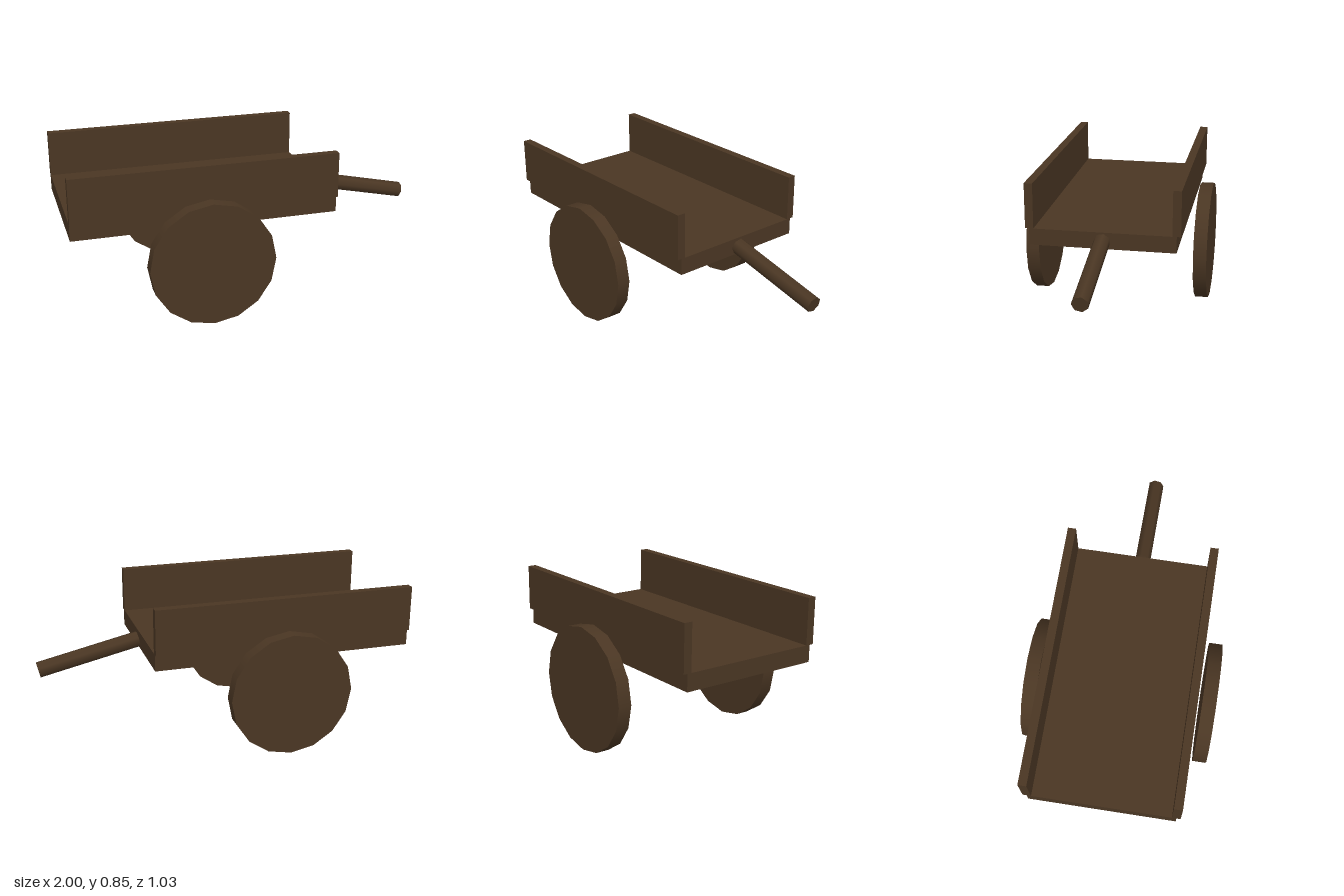
import * as THREE from 'three';

export function createModel() {
  const cart = new THREE.Group();
  cart.name = 'handCart';
  const wood = new THREE.MeshStandardMaterial({ color: 0x4a3623 });
  wood.name = 'darkWood';

  const centreX = -0.284; // middle of the bed, above the wheels
  const bedLength = 1.432;

  const add = (name, geometry, x, y, z) => {
    const mesh = new THREE.Mesh(geometry, wood);
    mesh.name = name;
    mesh.position.set(x, y, z);
    cart.add(mesh);
    return mesh;
  };

  // Flat bed
  add('bed', new THREE.BoxGeometry(bedLength, 0.091, 0.784), centreX, 0.5545, 0);

  // Side boards and solid wheels, mirrored front and back
  for (const [side, s] of [['front', 1], ['back', -1]]) {
    add(side + 'SideBoard', new THREE.BoxGeometry(bedLength, 0.247, 0.045), centreX, 0.7235, s * 0.3915);
    const wheel = add(side + 'Wheel', new THREE.CylinderGeometry(0.338, 0.338, 0.075, 16), centreX, 0.338, s * 0.48);
    wheel.rotation.x = Math.PI / 2;
  }

  // Sloping draw pole
  const start = new THREE.Vector3(0.435, 0.555, 0);
  const end = new THREE.Vector3(0.99, 0.432, 0);
  const along = end.clone().sub(start);
  const pole = add('drawPole', new THREE.CylinderGeometry(0.044, 0.044, along.length(), 7),
    (start.x + end.x) / 2, (start.y + end.y) / 2, 0);
  pole.rotation.z = Math.atan2(along.y, along.x) - Math.PI / 2;

  return cart;
}
